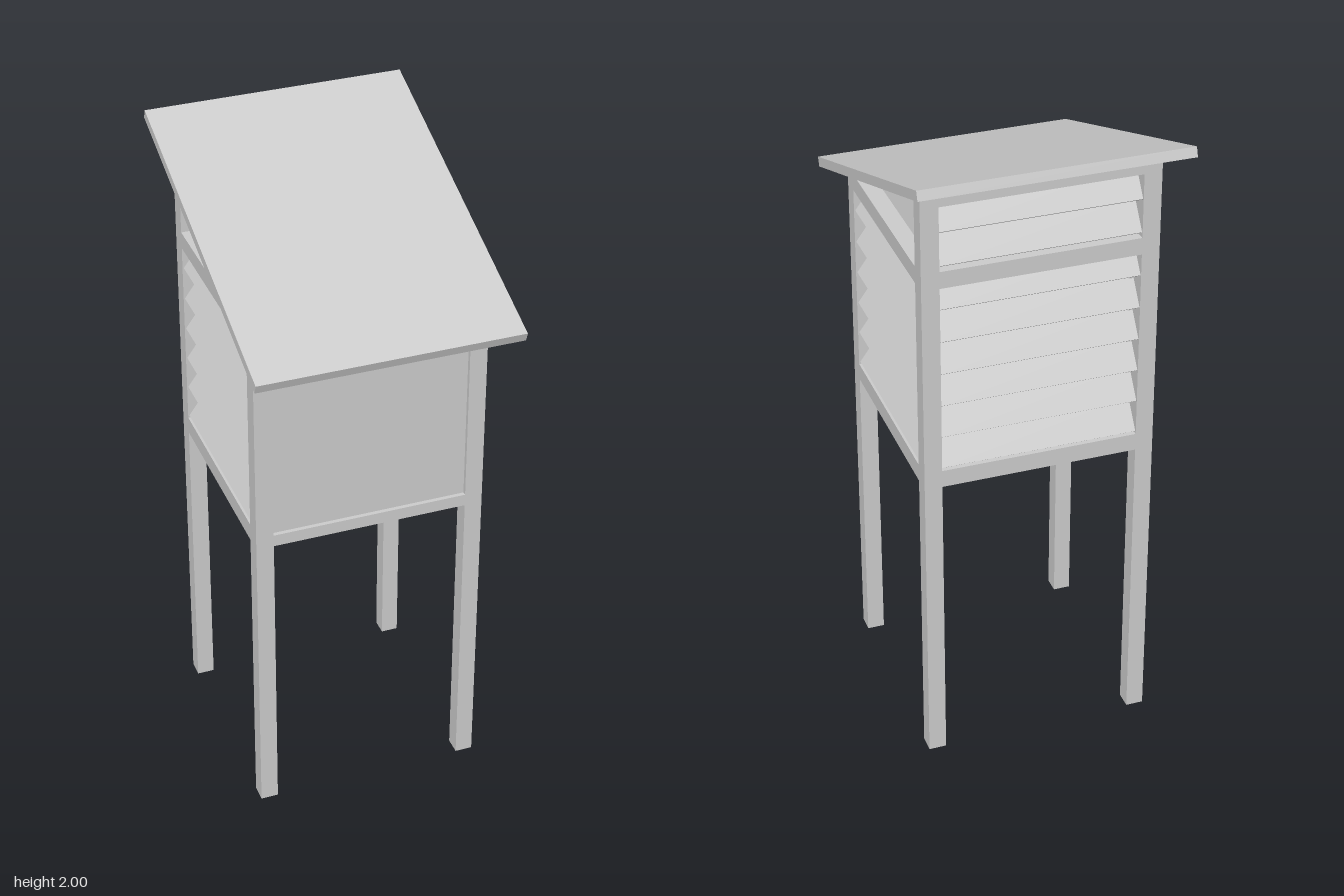
import * as THREE from 'three';

const HALF = 0.328;   // post centre to shelter centre
const POST = 0.054;
const SPAN = 2 * HALF - POST;
const SLOPE = THREE.MathUtils.degToRad(20);

const material = new THREE.MeshStandardMaterial({ color: 0xcccccc, flatShading: true });

function box(parent, name, w, h, d, x, y, z) {
  const mesh = new THREE.Mesh(new THREE.BoxGeometry(w, h, d), material);
  mesh.name = name;
  mesh.position.set(x, y, z);
  parent.add(mesh);
  return mesh;
}

// Horizontal rail between two posts, given by its bottom and top heights
function rail(side, name, y0, y1) {
  return box(side, name, SPAN, y1 - y0, POST, 0, (y0 + y1) / 2, HALF);
}

// Row of tilted slats, lower edge outwards
function louvres(side, count, firstY) {
  for (let i = 0; i < count; i++) {
    const slat = box(side, 'louvreSlat', SPAN, 0.104, 0.012, 0, firstY + i * 0.105, HALF - 0.012);
    slat.rotation.x = -0.62;
  }
}

// One wall, built facing +z and turned into place
function wall(parent, name, angle) {
  const side = new THREE.Group();
  side.name = name;
  side.rotation.y = angle;
  parent.add(side);
  return side;
}

export function createModel() {
  const model = new THREE.Group();
  model.name = 'louvredShelter';

  // The whole shelter stands turned about the vertical axis
  const shelter = new THREE.Group();
  shelter.name = 'shelter';
  shelter.rotation.y = -0.377;
  model.add(shelter);

  const body = new THREE.Group();
  body.name = 'body';
  body.position.z = -0.017;
  shelter.add(body);

  // Corner posts, taller at the back
  for (const x of [-HALF, HALF]) {
    box(body, 'frontPost', POST, 1.67, POST, x, 0.835, HALF);
    box(body, 'backPost', POST, 1.92, POST, x, 0.96, -HALF);
  }

  // Floor
  box(body, 'floor', SPAN, 0.03, SPAN, 0, 0.987, 0);

  // Side walls with louvres
  for (const [name, angle] of [['leftWall', Math.PI / 2], ['rightWall', -Math.PI / 2]]) {
    const side = wall(body, name, angle);
    rail(side, 'bottomRail', 0.965, 1.02);
    rail(side, 'topRail', 1.622, 1.675);
    louvres(side, 6, 1.067);
  }

  // Back wall with a second, upper row of louvres
  const back = wall(body, 'backWall', Math.PI);
  rail(back, 'bottomRail', 0.965, 1.02);
  rail(back, 'middleRail', 1.622, 1.675);
  rail(back, 'topRail', 1.875, 1.92);
  louvres(back, 6, 1.067);
  louvres(back, 2, 1.73);

  // Plain front panel, slightly recessed
  const front = wall(body, 'frontWall', 0);
  rail(front, 'bottomRail', 0.965, 1.003);
  box(front, 'frontPanel', SPAN, 0.665, 0.02, 0, 1.335, HALF + POST / 2 - 0.023);

  // Sloping roof board
  const roof = box(shelter, 'roof', 0.802, 0.03, 1.06, 0, 1.805, 0);
  roof.rotation.x = SLOPE;

  return model;
}
